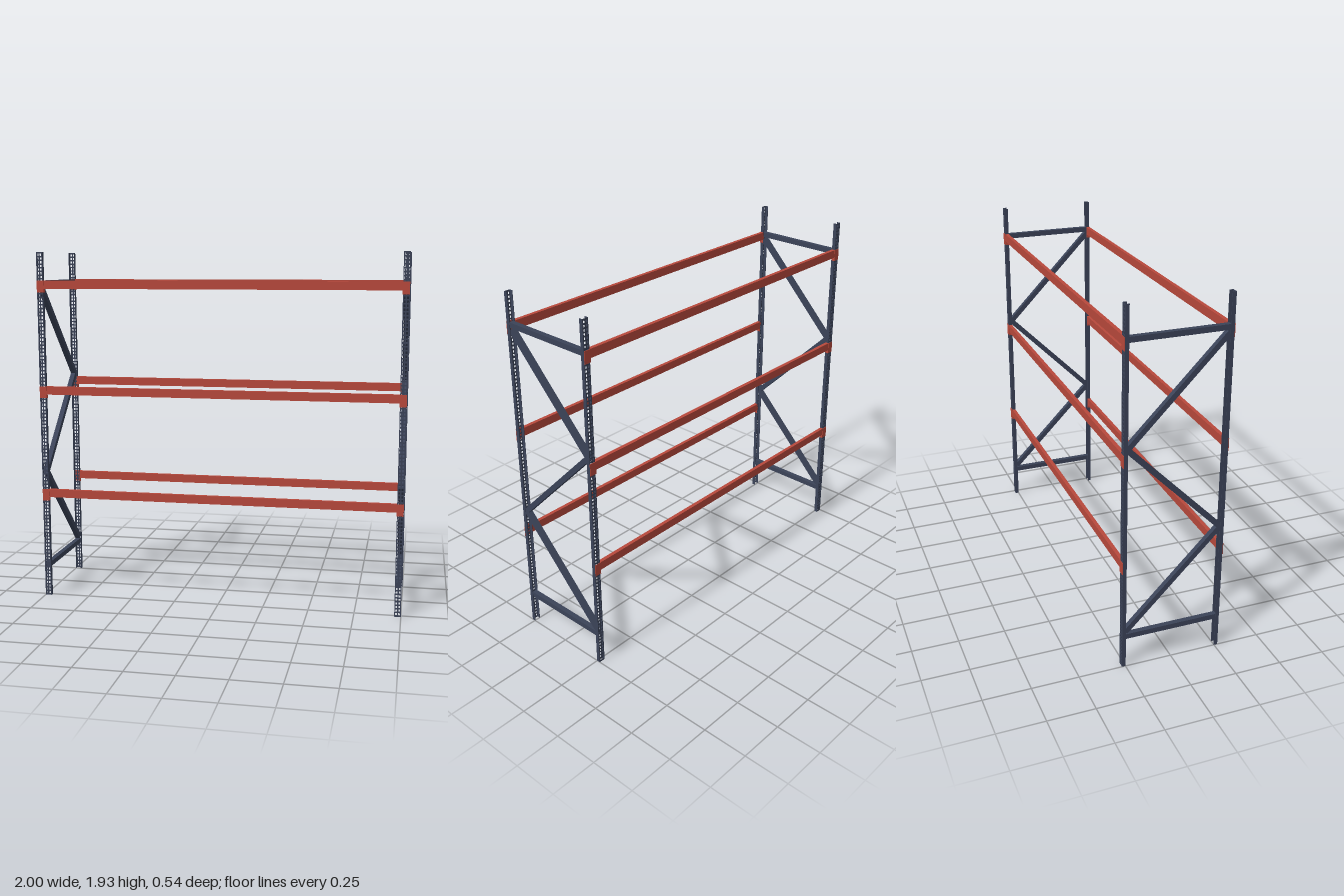
import * as THREE from 'three';

const steel = new THREE.MeshStandardMaterial({ color: 0x3b4358 });
const red = new THREE.MeshStandardMaterial({ color: 0xb8493c });

const HEIGHT = 1.93, POST_W = 0.035, POST_X = 1 - POST_W / 2;
const FRONT_Z = 0.269, POST_D = 0.02, SHEET = 0.002;

function box(name, material, w, h, d, x, y, z) {
  const mesh = new THREE.Mesh(new THREE.BoxGeometry(w, h, d), material);
  mesh.name = name;
  mesh.position.set(x, y, z);
  return mesh;
}

// Perforated face of a post: two columns of slots
function perforatedFace() {
  const shape = new THREE.Shape();
  const hw = POST_W / 2;
  shape.moveTo(-hw, 0).lineTo(hw, 0).lineTo(hw, HEIGHT).lineTo(-hw, HEIGHT).closePath();
  const pitch = 0.02, w = 0.0045, h = 0.006;
  for (let y = 0.015; y < HEIGHT - 0.01; y += pitch) {
    for (const x of [-0.008, 0.008]) {
      const hole = new THREE.Path();
      hole.moveTo(x - w, y - h).lineTo(x - w, y + h).lineTo(x + w, y + h).lineTo(x + w, y - h).closePath();
      shape.holes.push(hole);
    }
  }
  return new THREE.ExtrudeGeometry(shape, { depth: SHEET, bevelEnabled: false });
}

// Channel post, open towards the middle of the rack
function makePost(faceGeometry) {
  const post = new THREE.Group();
  post.name = 'post';
  const face = new THREE.Mesh(faceGeometry, steel);
  face.name = 'perforatedFace';
  face.position.z = -SHEET;
  post.add(face);
  for (const s of [-1, 1]) {
    post.add(box('postFlange', steel, SHEET, HEIGHT, POST_D,
      s * (POST_W - SHEET) / 2, HEIGHT / 2, -POST_D / 2));
  }
  return post;
}

// Brace between two [z, y] points of a side frame
function makeBrace(name, [z0, y0], [z1, y1], x) {
  const dz = z1 - z0, dy = y1 - y0;
  const brace = box(name, steel, 0.027, 0.028, Math.hypot(dz, dy), x, (y0 + y1) / 2, (z0 + z1) / 2);
  brace.rotation.x = -Math.atan2(dy, dz);
  return brace;
}

// Beam with a hooked connector plate on each end
function makeBeam(top) {
  const beam = new THREE.Group();
  beam.name = 'beam';
  const span = 2 * (1 - POST_W), h = 0.045, plateH = 0.065;
  beam.add(box('beamRail', red, span, h, 0.02, 0, top - h / 2, FRONT_Z - 0.009));
  for (const s of [-1, 1]) {
    beam.add(box('connectorPlate', red, POST_W, plateH, 0.003,
      s * POST_X, top - plateH / 2, FRONT_Z + 0.0015));
    beam.add(box('connectorReturn', red, 0.003, plateH, 0.021,
      s * (1 - POST_W - 0.0015), top - plateH / 2, FRONT_Z - 0.0075));
  }
  return beam;
}

export function createModel() {
  const model = new THREE.Group();
  model.name = 'storageRack';
  const faceGeometry = perforatedFace();

  // Two end frames: posts, level braces and zigzag bracing
  const zigzag = [[0.25, 1.735], [-0.25, 1.22], [0.25, 0.715], [-0.25, 0.205]];
  for (const side of [-1, 1]) {
    const frame = new THREE.Group();
    frame.name = side > 0 ? 'leftFrame' : 'rightFrame';
    for (const end of [1, -1]) {
      const post = makePost(faceGeometry);
      post.position.set(side * POST_X, 0, end * FRONT_Z);
      if (end < 0) post.rotation.y = Math.PI;
      frame.add(post);
    }
    for (const y of [0.178, 1.762]) {
      frame.add(makeBrace('levelBrace', [-0.255, y], [0.255, y], side * POST_X));
    }
    for (let i = 0; i < 3; i++) {
      frame.add(makeBrace('diagonalBrace', zigzag[i], zigzag[i + 1], side * POST_X));
    }
    model.add(frame);
  }

  // Three shelf levels, each with a front and a back beam
  for (const top of [0.617, 1.197, 1.777]) {
    const front = makeBeam(top);
    front.name = 'frontBeam';
    const back = makeBeam(top);
    back.name = 'backBeam';
    back.rotation.y = Math.PI;
    model.add(front, back);
  }
  return model;
}
